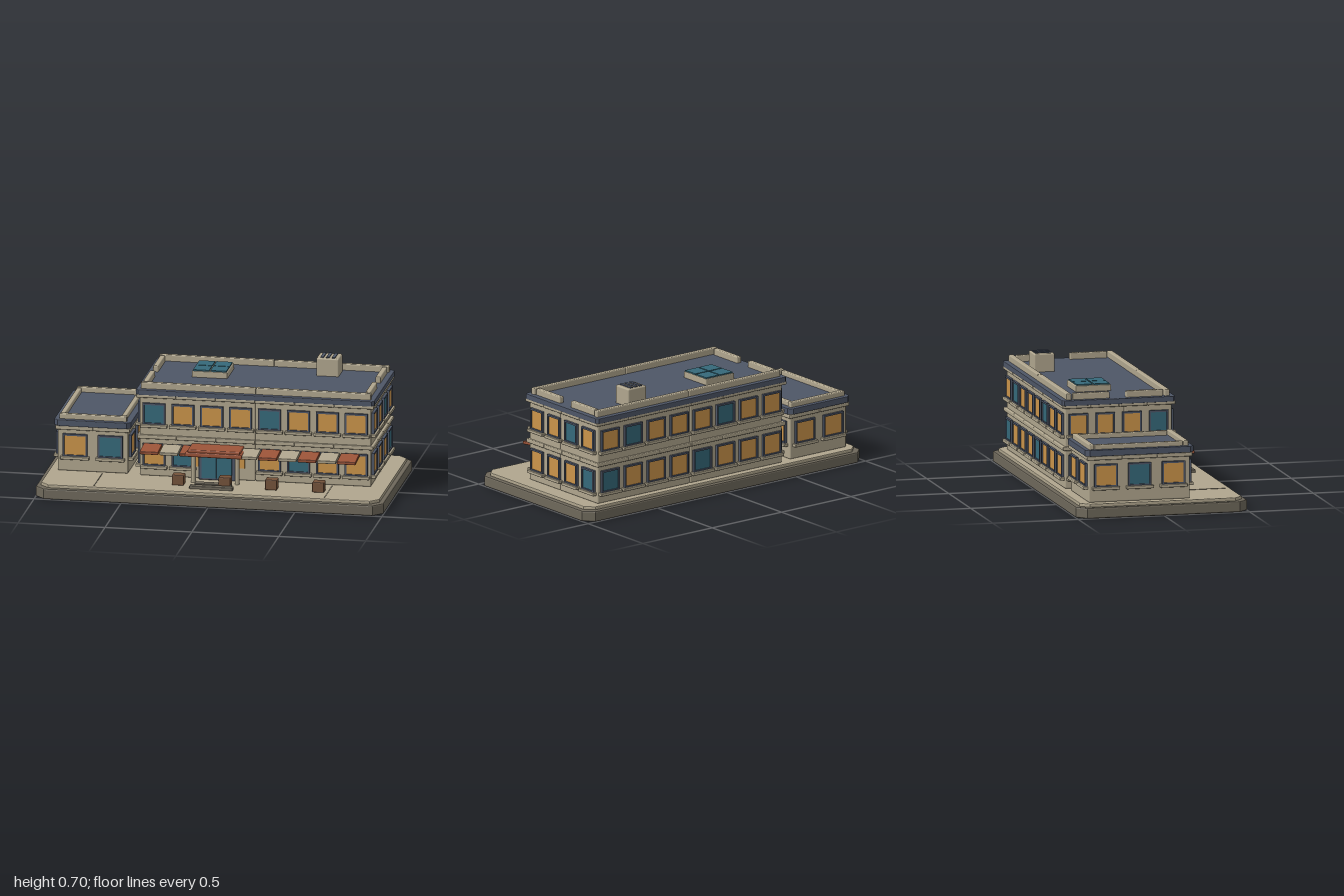
import * as THREE from 'three';
import { RoundedBoxGeometry } from 'three/addons/geometries/RoundedBoxGeometry.js';

const paint = (name, color) => Object.assign(new THREE.MeshStandardMaterial({ color }), { name });

export function createModel() {
  const stone = paint('stone', 0xb0a68e);
  const slate = paint('slate', 0x4e5667);
  const teal = paint('teal glass', 0x35697a);
  const amber = paint('lit glass', 0xcb944a);
  const red = paint('red awning', 0x9c5439);
  const brown = paint('brown wood', 0x74523a);
  const grey = paint('grey base', 0x6e685b);

  const model = new THREE.Group();
  model.name = 'building';

  function add(parent, name, geo, mat, x = 0, y = 0, z = 0) {
    const m = new THREE.Mesh(geo, mat);
    m.name = name;
    m.position.set(x, y, z);
    parent.add(m);
    return m;
  }
  // Box given by its min and max on each axis, rounded when r > 0
  function block(parent, name, mat, x0, x1, y0, y1, z0, z1, r = 0) {
    const s = [x1 - x0, y1 - y0, z1 - z0];
    const geo = r ? new RoundedBoxGeometry(...s, 2, r) : new THREE.BoxGeometry(...s);
    return add(parent, name, geo, mat, (x0 + x1) / 2, (y0 + y1) / 2, (z0 + z1) / 2);
  }
  // Horizontal slab with cut corners and a small bevel
  function slab(parent, name, mat, x0, x1, y0, y1, z0, z1, cut, bevel) {
    const a = (x1 - x0) / 2 - bevel, b = (z1 - z0) / 2 - bevel;
    const shape = new THREE.Shape([
      [a, -b + cut], [a, b - cut], [a - cut, b], [-a + cut, b],
      [-a, b - cut], [-a, -b + cut], [-a + cut, -b], [a - cut, -b],
    ].map(p => new THREE.Vector2(...p)));
    const geo = new THREE.ExtrudeGeometry(shape, {
      depth: y1 - y0 - 2 * bevel, bevelEnabled: true, bevelSize: bevel, bevelThickness: bevel, bevelSegments: 2,
    });
    geo.rotateX(-Math.PI / 2);
    return add(parent, name, geo, mat, (x0 + x1) / 2, y0 + bevel, (z0 + z1) / 2);
  }

  // Ground
  slab(model, 'base', grey, -1, 1, 0, 0.062, -0.5, 0.5, 0.05, 0.008);
  slab(model, 'pavement', stone, -0.973, 0.973, 0.055, 0.08, -0.473, 0.473, 0.045, 0.005);
  for (const x of [-0.665, 0.66]) block(model, 'pavementJoint', grey, x - 0.003, x + 0.003, 0.078, 0.082, 0.2, 0.445);

  // Window facing +z at the local origin: frame, glass and sill
  function makeWindow(parent, w, h, glass) {
    const rect = (p, a, b) => p.moveTo(-a, -b).lineTo(a, -b).lineTo(a, b).lineTo(-a, b).closePath();
    const shape = rect(new THREE.Shape(), w / 2, h / 2);
    shape.holes.push(rect(new THREE.Path(), w / 2 - 0.01, h / 2 - 0.01));
    const g = new THREE.Group();
    g.name = 'window';
    add(g, 'windowFrame', new THREE.ExtrudeGeometry(shape, { depth: 0.018, bevelEnabled: false }), slate, 0, 0, -0.003);
    block(g, 'windowGlass', glass, -w / 2 + 0.008, w / 2 - 0.008, -h / 2 + 0.008, h / 2 - 0.008, 0, 0.008);
    block(g, 'windowSill', stone, -w / 2 - 0.012, w / 2 + 0.012, -h / 2 - 0.016, -h / 2 + 0.002, -0.005, 0.027, 0.004);
    parent.add(g);
    return g;
  }

  // Rows of windows on all four walls, counted from -x or from the front
  function windowRows(parent, f, y, h, counts, widths, phase, skip = []) {
    const { x0, x1, z0, z1 } = f;
    const sides = [
      { rot: 0, shift: 0 }, { rot: Math.PI, shift: 2 },
      { rot: Math.PI / 2, shift: 2 }, { rot: -Math.PI / 2, shift: 0 },
    ];
    sides.forEach(({ rot, shift }, s) => {
      const long = s < 2, n = counts[long ? 0 : 1];
      for (let i = 0; i < n; i++) {
        if (s === 0 && skip.includes(i)) continue;
        const t = (i + 0.5) / n;
        const win = makeWindow(parent, widths[long ? 0 : 1], h, i % 4 === (shift + phase) % 4 ? teal : amber);
        if (long) win.position.set(x0 + (x1 - x0) * t, y, s ? z0 : z1);
        else win.position.set(s === 2 ? x1 : x0, y, z1 - (z1 - z0) * t);
        win.rotation.y = rot;
      }
    });
  }

  // Belt course cut into short stones around the walls
  function belt(parent, f, y0, y1, out, nx, nz) {
    const { x0, x1, z0, z1 } = f;
    const X0 = x0 - out, X1 = x1 + out, Z0 = z0 - out, Z1 = z1 + out, dx = (X1 - X0) / nx, dz = (Z1 - Z0) / nz;
    for (let i = 0; i < nx; i++) for (const [a, b] of [[z1 - 0.02, Z1], [Z0, z0 + 0.02]])
      block(parent, 'beltStone', stone, X0 + i * dx, X0 + (i + 1) * dx, y0, y1, a, b, 0.005);
    for (let i = 0; i < nz; i++) for (const [a, b] of [[x1 - 0.02, X1], [X0, x0 + 0.02]])
      block(parent, 'beltStone', stone, a, b, y0, y1, Z0 + i * dz, Z0 + (i + 1) * dz, 0.005);
  }

  // Main building: two floors, each in four wall panels
  const main = new THREE.Group();
  main.name = 'mainBuilding';
  model.add(main);
  const M = { x0: -0.45, x1: 0.88, z0: -0.437, z1: 0.187 };
  for (const [y0, y1] of [[0.079, 0.31], [0.308, 0.565]])
    for (const [a, b] of [[M.x0, 0.215], [0.215, M.x1]])
      for (const [c, d] of [[M.z0, -0.09], [-0.09, M.z1]]) block(main, 'wallPanel', stone, a, b, y0, y1, c, d, 0.008);
  windowRows(main, M, 0.446, 0.125, [8, 4], [0.13, 0.112], 0);
  windowRows(main, M, 0.206, 0.13, [8, 4], [0.13, 0.112], 1, [2, 3]);
  belt(main, M, 0.298, 0.321, 0.014, 6, 4);
  belt(main, M, 0.54, 0.56, 0.018, 6, 4);
  slab(main, 'roof', slate, -0.47, 0.9, 0.556, 0.587, -0.457, 0.205, 0.012, 0.003);

  // Main parapets
  for (const [a, b] of [[-0.446, 0.214], [0.216, 0.876]]) for (const z of [0.162, -0.412])
    block(main, 'parapet', stone, a, b, 0.58, 0.623, z - 0.015, z + 0.015, 0.006);
  for (const x of [-0.425, 0.853]) for (const [a, b] of [[-0.076, 0.14], [-0.388, -0.172]])
    block(main, 'parapet', stone, x - 0.015, x + 0.015, 0.58, 0.623, a, b, 0.006);

  // Skylight with four panes
  block(main, 'skylightCurb', stone, -0.205, 0, 0.584, 0.622, -0.31, -0.104, 0.005);
  for (const x of [-0.152, -0.053]) for (const z of [-0.257, -0.157])
    block(main, 'skylightPane', teal, x - 0.046, x + 0.046, 0.62, 0.629, z - 0.046, z + 0.046);

  // Rooftop vent unit
  block(main, 'ventUnit', stone, 0.482, 0.612, 0.58, 0.691, -0.377, -0.257, 0.008);
  for (const x of [0.514, 0.547, 0.58]) block(main, 'ventSlat', slate, x - 0.009, x + 0.009, 0.688, 0.696, -0.365, -0.27);

  // Annex
  const annex = new THREE.Group();
  annex.name = 'annex';
  model.add(annex);
  const A = { x0: -0.925, x1: -0.52, z0: -0.42, z1: 0.172 };
  block(annex, 'annexWalls', stone, A.x0, A.x1, 0.079, 0.36, A.z0, A.z1, 0.008);
  windowRows(annex, A, 0.233, 0.132, [2, 3], [0.142, 0.135], 1);
  belt(annex, A, 0.322, 0.345, 0.012, 2, 3);
  slab(annex, 'annexRoof', slate, -0.945, -0.503, 0.346, 0.382, -0.44, 0.192, 0.022, 0.003);
  for (const z of [0.15, -0.4]) block(annex, 'annexParapet', stone, -0.918, -0.53, 0.375, 0.411, z - 0.015, z + 0.015, 0.006);
  for (const x of [-0.903, -0.552]) block(annex, 'annexParapet', stone, x - 0.014, x + 0.014, 0.375, 0.408, -0.382, 0.132, 0.006);

  // Entrance: framed doors with side lights, columns, canopy and steps
  const entrance = new THREE.Group();
  entrance.name = 'entrance';
  model.add(entrance);
  block(entrance, 'doorFrame', slate, -0.105, 0.105, 0.082, 0.243, 0.18, 0.224, 0.006);
  for (const s of [-1, 1]) {
    block(entrance, 'doorLeaf', teal, s * 0.045 - 0.042, s * 0.045 + 0.042, 0.095, 0.237, 0.222, 0.231);
    block(entrance, 'sideLight', amber, s * 0.132 - 0.022, s * 0.132 + 0.022, 0.15, 0.262, 0.185, 0.193);
    add(entrance, 'column', new THREE.CylinderGeometry(0.014, 0.014, 0.17, 16), stone, s * 0.126, 0.164, 0.271);
  }
  block(entrance, 'canopyTop', red, -0.15, 0.15, 0.262, 0.284, 0.187, 0.325, 0.006);
  block(entrance, 'canopyRim', red, -0.163, 0.163, 0.244, 0.269, 0.187, 0.335, 0.006);
  block(entrance, 'upperStep', grey, -0.105, 0.105, 0.078, 0.097, 0.31, 0.352, 0.004);
  block(entrance, 'lowerStep', grey, -0.125, 0.125, 0.078, 0.097, 0.372, 0.411, 0.004);

  // Striped awnings, leaving the middle to the canopy
  for (let i = 0; i < 11; i++) {
    if (i === 3 || i === 4) continue;
    const a = add(model, 'awning', new RoundedBoxGeometry(0.107, 0.018, 0.132, 2, 0.004), i % 2 ? stone : red,
      -0.372 + i * 0.1135, 0.258, 0.262);
    a.rotation.x = 0.1;
  }

  // Planters
  for (const x of [-0.201, 0.067, 0.335, 0.606])
    block(model, 'planter', brown, x - 0.034, x + 0.034, 0.079, 0.139, 0.295, 0.355, 0.005);

  return model;
}
